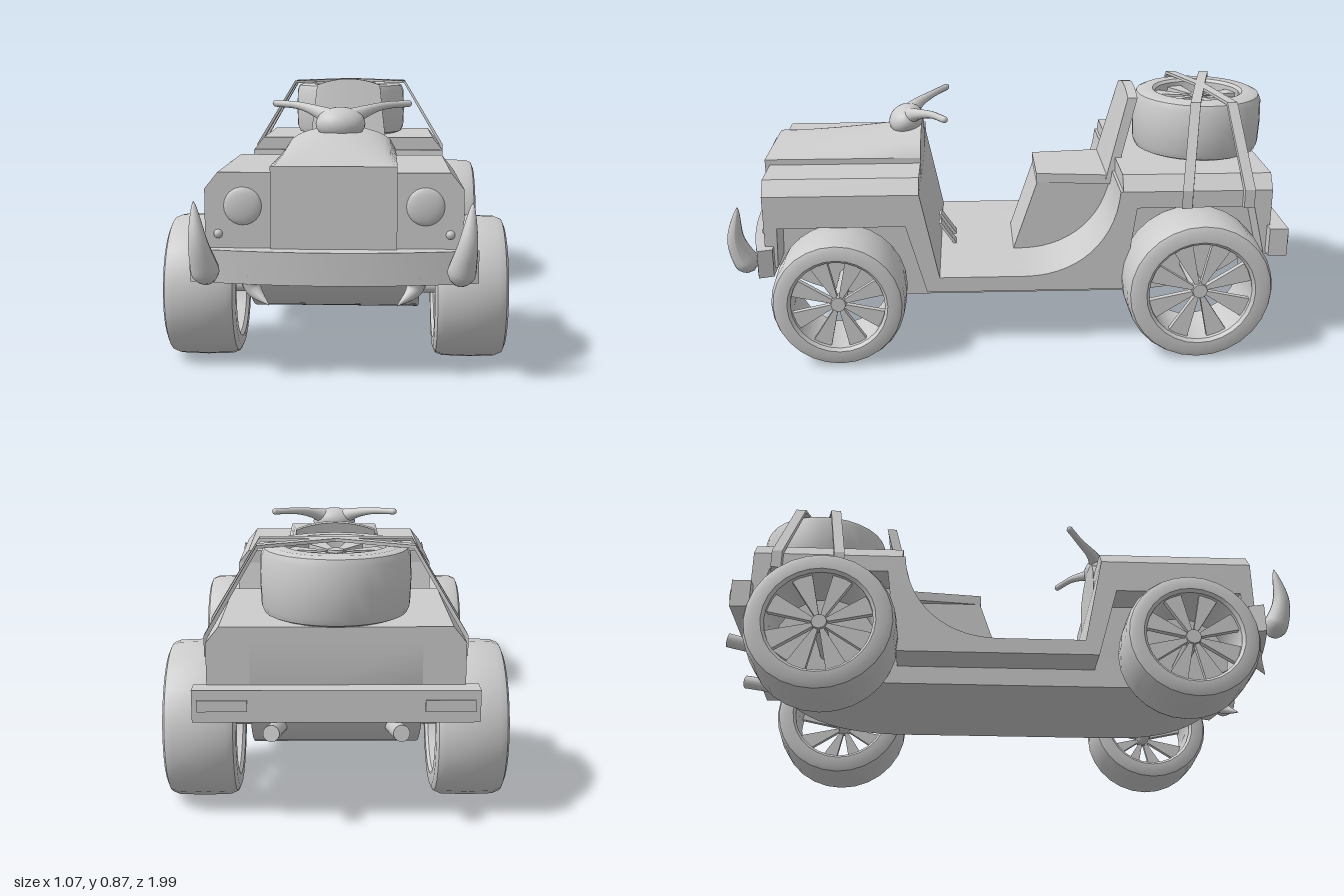
import * as THREE from 'three';
import { toCreasedNormals } from 'three/addons/utils/BufferGeometryUtils.js';

const V = (x, y, z) => new THREE.Vector3(x, y, z);

export function createModel() {
  const model = new THREE.Group();
  const grey = new THREE.MeshStandardMaterial({ color: 0xcccccc, side: THREE.DoubleSide });
  grey.name = 'light grey';

  const add = (name, geo, parent = model) => {
    const mesh = new THREE.Mesh(geo, grey);
    mesh.name = name;
    parent.add(mesh);
    return mesh;
  };
  const box = (name, x0, x1, y0, y1, z0, z1) =>
    add(name, new THREE.BoxGeometry(x1 - x0, y1 - y0, z1 - z0)
      .translate((x0 + x1) / 2, (y0 + y1) / 2, (z0 + z1) / 2));
  const extrude = (shape, depth) => toCreasedNormals(
    new THREE.ExtrudeGeometry(shape, { depth, bevelEnabled: false, curveSegments: 14 }), 0.6);
  const polygon = (pts) => new THREE.Shape(pts.map((p) => new THREE.Vector2(...p)));
  // side profile given as (z, y), stretched from x0 to x1
  const sideExtrude = (name, shape, x0, x1) =>
    add(name, extrude(shape, x1 - x0).rotateY(-Math.PI / 2).translate(x1, 0, 0));
  // cylinder between two points
  const rod = (name, a, b, r) => {
    const mesh = add(name, new THREE.CylinderGeometry(r, r, a.distanceTo(b), 16));
    mesh.position.copy(a).add(b).multiplyScalar(0.5);
    mesh.quaternion.setFromUnitVectors(V(0, 1, 0), b.clone().sub(a).normalize());
  };
  // curved tube whose radius follows a function of its length
  const horn = (name, pts, radius) => {
    const curve = new THREE.CatmullRomCurve3(pts);
    const n = 20, sides = 14;
    const geo = new THREE.TubeGeometry(curve, n, 1, sides);
    const pos = geo.attributes.position, v = V(0, 0, 0);
    for (let i = 0; i < pos.count; i++) {
      const t = Math.floor(i / (sides + 1)) / n;
      const c = curve.getPointAt(t);
      v.fromBufferAttribute(pos, i).sub(c).multiplyScalar(radius(t)).add(c);
      pos.setXYZ(i, v.x, v.y, v.z);
    }
    geo.computeVertexNormals();
    add(name, geo);
  };

  // upper edge shared by all body slices: tail, rear deck, curved floor, firewall
  const cabinEdge = (s) => {
    s.lineTo(-0.89, 0.58);
    s.lineTo(-0.36, 0.58);
    s.bezierCurveTo(-0.35, 0.4, -0.22, 0.27, -0.03, 0.27);
    s.lineTo(0.27, 0.27);
    s.lineTo(0.335, 0.58);
    s.lineTo(0.87, 0.58);
  };

  // central tub with curved belly
  const tub = new THREE.Shape();
  tub.moveTo(0.87, 0.58);
  tub.lineTo(0.87, 0.3);
  tub.bezierCurveTo(0.8, 0.2, 0.65, 0.15, 0.45, 0.15);
  tub.lineTo(-0.38, 0.15);
  tub.bezierCurveTo(-0.65, 0.15, -0.82, 0.22, -0.89, 0.36);
  cabinEdge(tub);
  sideExtrude('tub', tub, -0.26, 0.26);

  // outer body with wheel arches
  const flank = new THREE.Shape();
  flank.moveTo(0.87, 0.58);
  [[0.87, 0.32], [0.83, 0.32], [0.825, 0.465], [0.385, 0.465], [0.315, 0.215], [-0.38, 0.215],
    [-0.42, 0.52], [-0.83, 0.52], [-0.875, 0.34], [-0.89, 0.34]].forEach((p) => flank.lineTo(...p));
  cabinEdge(flank);
  sideExtrude('leftFlank', flank, 0.26, 0.39);
  sideExtrude('rightFlank', flank, -0.39, -0.26);

  // chamfered tops of the front wings and the rear deck
  const cap = polygon([[-0.39, 0.58], [0.39, 0.58], [0.35, 0.63], [-0.35, 0.63]]);
  add('frontWingTop', extrude(cap, 0.535).translate(0, 0, 0.335));
  add('rearDeck', extrude(cap, 0.52).translate(0, 0, -0.89));

  // hood, flat at the grille and arched at the dashboard
  const hood = new THREE.BoxGeometry(0.38, 0.25, 0.553, 20, 1, 10).translate(0, 0.525, 0.61);
  const hp = hood.attributes.position;
  for (let i = 0; i < hp.count; i++) {
    if (hp.getY(i) < 0.6) continue;
    const u = Math.min(1, Math.abs(hp.getX(i)) / 0.19);
    const t = (0.8865 - hp.getZ(i)) / 0.553;
    hp.setY(i, 0.65 + 0.08 * t * Math.sqrt(1 - u * u));
  }
  hood.computeVertexNormals();
  add('hood', hood);

  // front bumper, bowed forward
  const bow = [];
  for (let i = 0; i <= 16; i++) {
    const x = -0.435 + 0.87 * i / 16;
    bow.push([x, 0.945 - 0.055 * (x / 0.435) ** 2]);
  }
  bow.push([0.42, 0.84], [-0.42, 0.84]);
  add('frontBumper', extrude(polygon(bow), 0.1).rotateX(Math.PI / 2).translate(0, 0.4, 0));

  // rear bumper
  box('rearBumper', -0.43, 0.43, 0.35, 0.45, -0.945, -0.88);

  // parts found on both sides
  for (const s of [1, -1]) {
    const side = s > 0 ? 'left' : 'right';
    add(side + 'Headlight', new THREE.SphereGeometry(0.058, 28, 12).scale(1, 1, 0.25)
      .translate(s * 0.275, 0.528, 0.869));
    add(side + 'Indicator', new THREE.SphereGeometry(0.014, 12, 8).translate(s * 0.35, 0.443, 0.869));
    horn(side + 'Tusk', [V(s * 0.375, 0.305, 0.915), V(s * 0.38, 0.345, 0.94), V(s * 0.395, 0.43, 0.965),
      V(s * 0.41, 0.555, 0.948)],
    (t) => 0.05 * Math.min(1, Math.sqrt(t * 6)) * Math.pow(1 - t, 0.7));
    horn(side + 'Fang', [V(s * 0.25, 0.32, 0.89), V(s * 0.24, 0.28, 0.9), V(s * 0.19, 0.242, 0.945)],
      (t) => 0.037 * (1 - t) + 0.001);
    horn(side + 'Handlebar', [V(s * 0.02, 0.755, 0.385), V(s * 0.08, 0.78, 0.35), V(s * 0.15, 0.798, 0.295),
      V(s * 0.235, 0.803, 0.245)],
    (t) => 0.012 + 0.026 * (1 - t) ** 3);
    add(side + 'HandlebarEnd', new THREE.SphereGeometry(0.012, 10, 8).translate(s * 0.235, 0.803, 0.245));
    rod(side + 'Exhaust', V(s * 0.17, 0.295, -0.8), V(s * 0.192, 0.332, -0.99), 0.025);
    box(side + 'TailLight', s * 0.34 - 0.075, s * 0.34 + 0.075, 0.385, 0.42, -0.951, -0.944);
    const pedal = add(side + 'Pedal', new THREE.BoxGeometry(0.05, 0.1, 0.01));
    pedal.position.set(s * 0.048, 0.31, 0.245);
    pedal.rotation.x = 0.6;
  }
  const hub = add('steeringHub', new THREE.SphereGeometry(1, 24, 16).scale(0.085, 0.055, 0.065));
  hub.position.set(0, 0.742, 0.39);
  hub.rotation.x = 0.4;

  // seat: pillar, cushion and reclined back
  const taper = (geo, rule) => {
    const p = geo.attributes.position;
    for (let i = 0; i < p.count; i++) p.setXYZ(i, ...rule(p.getX(i), p.getY(i), p.getZ(i)));
    geo.computeVertexNormals();
    return geo;
  };
  const pillar = polygon([[0, 0.265], [-0.09, 0.535], [-0.37, 0.535], [-0.37, 0.265]]);
  sideExtrude('seatPillar', pillar, -0.13, 0.13);
  add('seatCushion', taper(new THREE.BoxGeometry(1, 0.035, 0.28).translate(0, 0.547, -0.225),
    (x, y, z) => [x * (z > -0.2 ? 0.26 : 0.32), y, z]));
  add('seatBack', taper(new THREE.BoxGeometry(1, 1, 0.035, 12, 1, 1).translate(0, 0.5, 0), (x, y, z) =>
    [x * (0.325 - 0.065 * y), 0.55 + y * (0.32 - 0.1 * x * x), z - 0.355 - 0.075 * y]));

  // wheel with axis along x and outer face towards +x
  const makeWheel = (name, R, w, rim) => {
    const g = new THREE.Group();
    g.name = name;
    const h = w / 2;
    const profile = [[rim, -h + 0.01], [rim + 0.01, -h], [R - 0.03, -h], [R - 0.012, -h + 0.008], [R - 0.003, -h + 0.03],
      [R, 0], [R - 0.003, h - 0.03], [R - 0.012, h - 0.008], [R - 0.03, h], [rim + 0.01, h], [rim, h - 0.01],
      [rim, -h + 0.01]].map((p) => new THREE.Vector2(...p));
    add('tyre', toCreasedNormals(new THREE.LatheGeometry(profile, 28), 0.75).rotateZ(-Math.PI / 2), g);
    const wedge = polygon([[0.012, -0.005], [rim, -rim * 0.2], [rim, rim * 0.2], [0.012, 0.005]]);
    for (let i = 0; i < 8; i++) {
      add('spoke', extrude(wedge, 0.02).rotateY(Math.PI / 2).rotateX((i + 0.5) * Math.PI / 4)
        .translate(h - 0.045, 0, 0), g);
    }
    add('hubCap', new THREE.CylinderGeometry(0.025, 0.03, 0.03, 20).rotateZ(-Math.PI / 2)
      .translate(h - 0.033, 0, 0), g);
    model.add(g);
    return g;
  };
  const axles = [['front', 0.23, 0.614, 0.16], ['rear', 0.255, -0.628, 0.178]];
  for (const [end, R, z, rim] of axles) {
    for (const s of [1, -1]) {
      const wheel = makeWheel(end + (s > 0 ? 'Left' : 'Right') + 'Wheel', R, 0.226, rim);
      wheel.position.set(s * 0.422, R + 0.003, z);
      if (s < 0) wheel.rotation.y = Math.PI;
    }
    rod(end + 'Axle', V(-0.5, R, z), V(0.5, R, z), 0.023);
  }

  // spare wheel lying on the deck
  const spare = makeWheel('spareWheel', 0.236, 0.215, 0.155);
  spare.rotation.z = Math.PI / 2;
  spare.position.set(0, 0.737, -0.69);

  // two crossing straps holding the spare
  const strap = polygon([[-0.402, 0.52], [-0.402, 0.585], [-0.24, 0.855], [0, 0.865], [0.24, 0.855], [0.402, 0.585],
    [0.402, 0.52], [0.39, 0.52], [0.39, 0.58], [0.235, 0.845], [0, 0.855], [-0.235, 0.845], [-0.39, 0.58], [-0.39, 0.52]]);
  for (const s of [1, -1]) {
    add('strap', taper(extrude(strap, 0.036), (x, y, z) => [x, y, z - 0.718 + s * 0.27 * x]));
  }
  return model;
}
